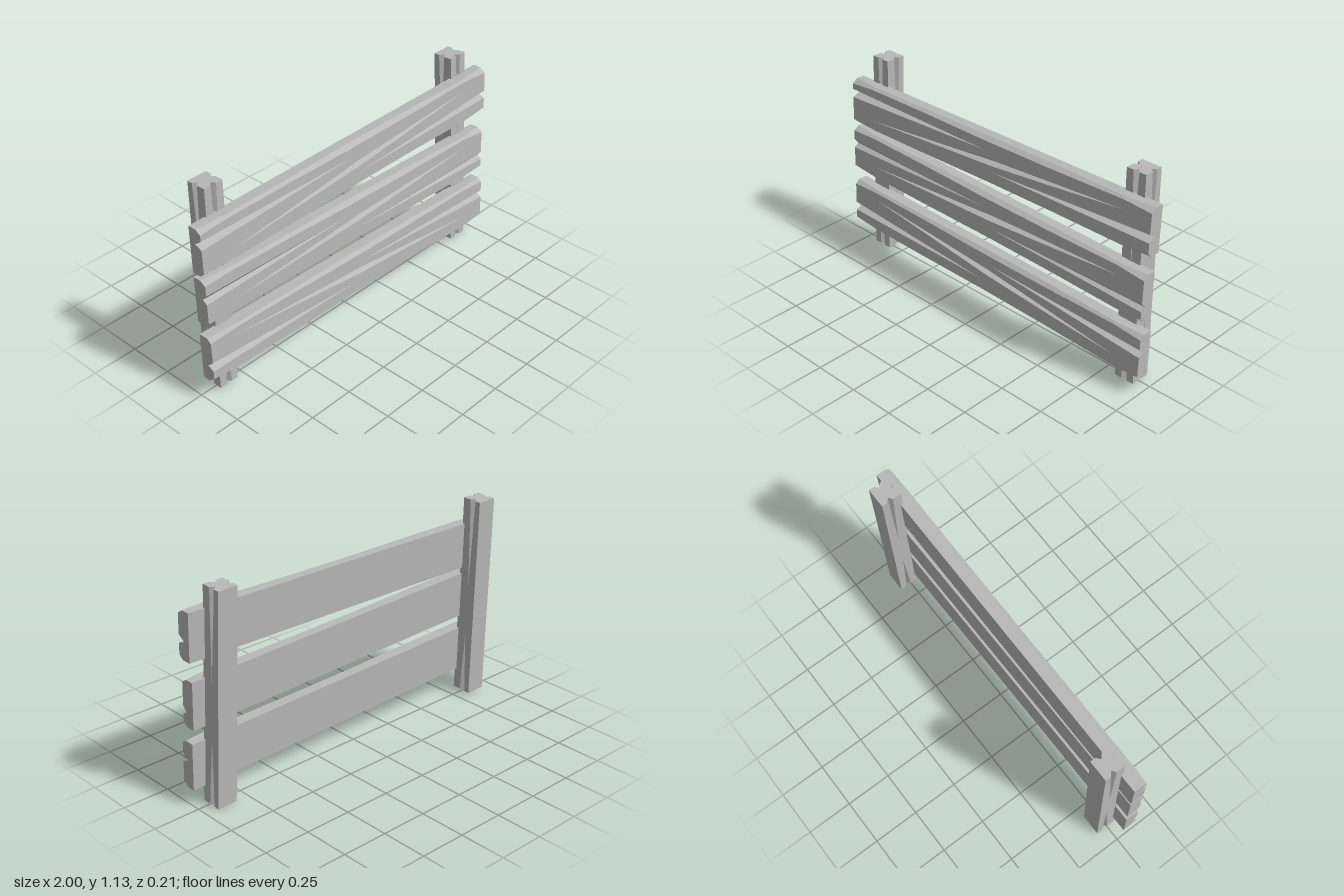
import * as THREE from 'three';

const wood = new THREE.MeshStandardMaterial({ color: 0xb8b8b8 });
wood.name = 'grey wood';

const { lerp, clamp } = THREE.MathUtils;
const P = (u, v) => new THREE.Vector2(u, v);

// Skin counter-clockwise rings of equal length, cap both ends, flat normals
function loft(name, rings, place) {
  const pos = [];
  const tri = (a, b, c) => {
    const area = b.clone().sub(a).cross(c.clone().sub(a)).length();
    if (area > 1e-8) for (const p of [a, b, c]) pos.push(p.x, p.y, p.z);
  };
  const pts = rings.map((ring, k) => ring.map((p) => place(p, k)));
  const n = rings[0].length;
  for (let k = 0; k < pts.length - 1; k++) {
    for (let i = 0; i < n; i++) {
      const j = (i + 1) % n, a = pts[k], b = pts[k + 1];
      tri(a[i], a[j], b[j]);
      tri(a[i], b[j], b[i]);
    }
  }
  const last = rings.length - 1;
  for (const [a, b, c] of THREE.ShapeUtils.triangulateShape(rings[0].slice(), [])) tri(pts[0][a], pts[0][c], pts[0][b]);
  for (const [a, b, c] of THREE.ShapeUtils.triangulateShape(rings[last].slice(), [])) tri(pts[last][a], pts[last][b], pts[last][c]);
  const geo = new THREE.BufferGeometry();
  geo.setAttribute('position', new THREE.Float32BufferAttribute(pos, 3));
  geo.computeVertexNormals();
  const mesh = new THREE.Mesh(geo, wood);
  mesh.name = name;
  return mesh;
}

// Stations along a plank, with the size of the chamfer at each
const stations = [-1, -0.84, -0.45, -0.03, 0.02, 0.4, 0.84, 1];
const chamfer = [0.03, 0.016, 0.018, 0.026, 0.026, 0.024, 0.014, 0.03];

// Plank with three tapering splits: from the left end, across the middle, from the right end.
// Each split is a pair of heights [at left, at right]; side -1 turns the layout upside down.
function plank(name, { left, right, splitA, splitB, splitC, depth, end = 1, side = 1 }) {
  const h = 0.125, t = 0.075;
  const centre = (x) => lerp(left, right, (x + 1) / 2);
  const rings = stations.map((x, k) => {
    const local = (y) => side * (y - centre(x));
    const a = clamp((-0.03 - x) / 0.97, 0, 1);
    const b = clamp(1 - Math.abs(x - 0.05) / 0.85, 0, 1) * (Math.abs(x) < 0.8 ? 1 : 0);
    const c = clamp((x - 0.02) / 0.98, 0, 1);
    const yB = local(lerp(splitB[0], splitB[1], (x + 0.84) / 1.68));
    const wB = 0.019 * b;
    const yA = Math.max(local(lerp(splitA[1], splitA[0], a)), yB + wB + 0.024 * a + 0.006);
    const yC = Math.min(local(lerp(splitC[0], splitC[1], c)), yB - wB - 0.024 * c - 0.006);
    const split = (y, w, d) => [P(y + w, t), P(y - 0.2 * w * side, t - d), P(y - w, t)];
    const e = chamfer[k];
    const ring = [
      P(-h, 0), P(h, 0), P(h, t - e), P(h - 0.7 * e, t),
      ...split(yA, 0.024 * a, depth * a),
      ...split(yB, wB, 0.03 * b),
      ...split(yC, 0.022 * c, depth * c),
      P(-h + 0.7 * e, t), P(-h, t - 0.8 * e),
    ];
    return side > 0 ? ring : ring.map((p) => P(-p.x, p.y)).reverse();
  });
  return loft(name, rings, (p, k) => {
    const x = stations[k];
    return new THREE.Vector3(x > 0.9 ? end : x, centre(x) + p.x, 0.033 + p.y);
  });
}

// Leaning post with splits from both ends on its front and sides
function post(name, xBottom, xTop, yBottom, yTop) {
  const h = 0.055;
  const levels = [yBottom, 0.37, 0.64, yTop];
  const rings = [1, 0, 0, 1].map((g) => {
    const w = 0.017 * g, d = 0.022 * g, zc = -0.008;
    return [
      P(-h, -h), P(zc - w, -h), P(zc, -h + d), P(zc + w, -h),
      P(h, -h), P(h, -w), P(h - d, 0), P(h, w),
      P(h, h), P(zc + w, h), P(zc, h - d), P(zc - w, h), P(-h, h),
    ];
  });
  return loft(name, rings, (p, k) => {
    const y = levels[k];
    const x = lerp(xBottom, xTop, (y - yBottom) / (yTop - yBottom));
    return new THREE.Vector3(x + p.y, y, p.x - 0.01);
  });
}

export function createModel() {
  const fence = new THREE.Group();
  fence.name = 'fence';
  fence.add(
    post('rightPost', -0.86, -0.848, 0.018, 1.135),
    post('leftPost', 0.877, 0.85, 0.004, 1.125),
    plank('topPlank', {
      left: 0.862, right: 0.888, depth: 0.04,
      splitA: [0.91, 0.93], splitB: [0.8, 0.95], splitC: [0.825, 0.863],
    }),
    plank('middlePlank', {
      left: 0.586, right: 0.535, depth: 0.025, end: 0.99,
      splitA: [0.613, 0.615], splitB: [0.53, 0.605], splitC: [0.51, 0.493],
    }),
    plank('bottomPlank', {
      left: 0.262, right: 0.215, depth: 0.035, side: -1,
      splitA: [0.228, 0.19], splitB: [0.33, 0.165], splitC: [0.295, 0.243],
    }),
  );
  // The whole fence leans back slightly
  fence.rotation.x = -0.0345;
  const model = new THREE.Group();
  model.add(fence);
  return model;
}
